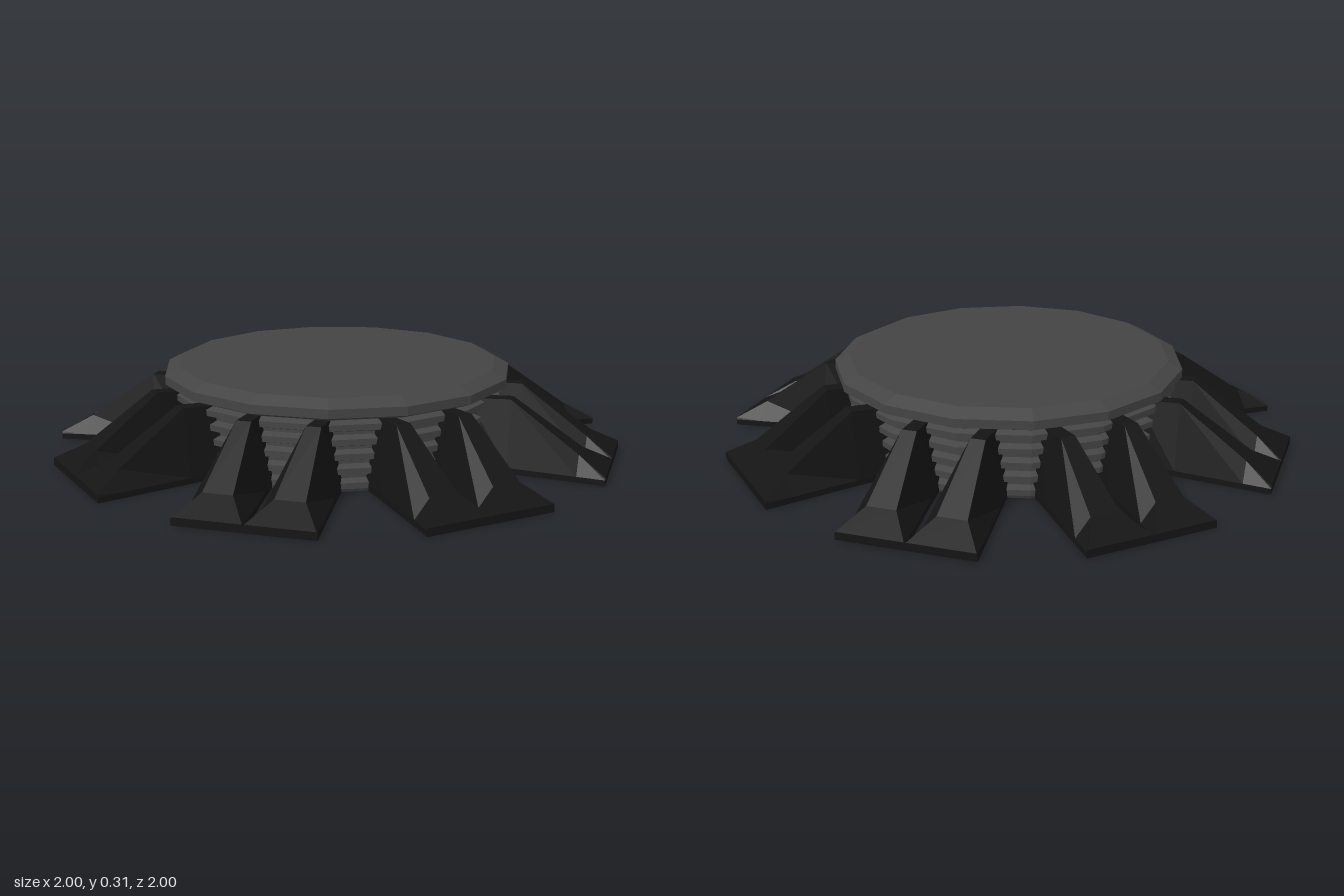
import * as THREE from 'three';

const SIDES = 15;     // facets of the drum
const PAIRS = 8;      // pairs of buttress fins

// Fin lofted along z (radially outward) from six-cornered sections
function finGeometry() {
  // [radius, base half width, lip height, ridge half width, ridge height]
  const rows = [
    [0.50, 0.052, 0.02, 0.025, 0.24],
    [0.645, 0.071, 0.02, 0.025, 0.245],
    [0.88, 0.102, 0.02, 0.05, 0.08],
    [0.975, 0.115, 0.02, 0.112, 0.027],
  ];
  const loops = rows.map(([z, b, lip, w, h]) =>
    [[-b, 0], [b, 0], [b, lip], [w, h], [-w, h], [-b, lip]].map(([x, y]) => [x, y, z]));
  const pos = [];
  const tri = (a, b, c) => pos.push(...a, ...b, ...c);
  for (let s = 0; s < loops.length - 1; s++) {
    const p = loops[s], q = loops[s + 1];
    for (let i = 0; i < 6; i++) {
      const j = (i + 1) % 6;
      tri(p[i], p[j], q[j]);
      tri(p[i], q[j], q[i]);
    }
  }
  // end caps
  const first = loops[0], last = loops[loops.length - 1];
  for (let i = 1; i < 5; i++) {
    tri(last[0], last[i], last[i + 1]);
    tri(first[0], first[i + 1], first[i]);
  }
  const g = new THREE.BufferGeometry();
  g.setAttribute('position', new THREE.Float32BufferAttribute(pos, 3));
  g.computeVertexNormals();
  return g;
}

function lathe(points) {
  return new THREE.LatheGeometry(points.map(([r, y]) => new THREE.Vector2(r, y)), SIDES, Math.PI / 2);
}

export function createModel() {
  const model = new THREE.Group();
  const grey = new THREE.MeshStandardMaterial({ color: 0x444444, flatShading: true });
  const black = new THREE.MeshStandardMaterial({ color: 0x141414, flatShading: true });

  // Ribbed drum: stacked rings, slightly wider towards the top
  const profile = [[0, 0], [0.56, 0]];
  const RINGS = 5, pitch = 0.25 / RINGS;
  for (let i = 0; i < RINGS; i++) {
    const y = i * pitch, r = 0.565 + i * 0.006;
    profile.push([r, y + pitch * 0.2], [r, y + pitch * 0.6],
      [r - 0.025, y + pitch * 0.8], [r - 0.025, y + pitch]);
  }
  profile.push([0, 0.25]);
  const drum = new THREE.Mesh(lathe(profile), grey);
  drum.name = 'ribbedDrum';
  model.add(drum);

  // Bevelled top plate
  const plate = new THREE.Mesh(lathe([
    [0, 0.245], [0.58, 0.245], [0.612, 0.258], [0.612, 0.288], [0.562, 0.313], [0, 0.313],
  ]), grey);
  plate.name = 'topPlate';
  model.add(plate);

  // Paired buttress fins around the drum
  const geometry = finGeometry();
  for (let k = 0; k < PAIRS; k++) {
    const pair = new THREE.Group();
    pair.name = 'finPair' + (k + 1);
    for (const side of [-1, 1]) {
      const fin = new THREE.Mesh(geometry, black);
      fin.name = side < 0 ? 'finA' : 'finB';
      fin.position.x = side * 0.115;
      pair.add(fin);
    }
    const angle = THREE.MathUtils.degToRad(16.8 + (k * 360) / PAIRS);
    pair.rotation.y = Math.PI / 2 - angle;
    model.add(pair);
  }
  return model;
}
